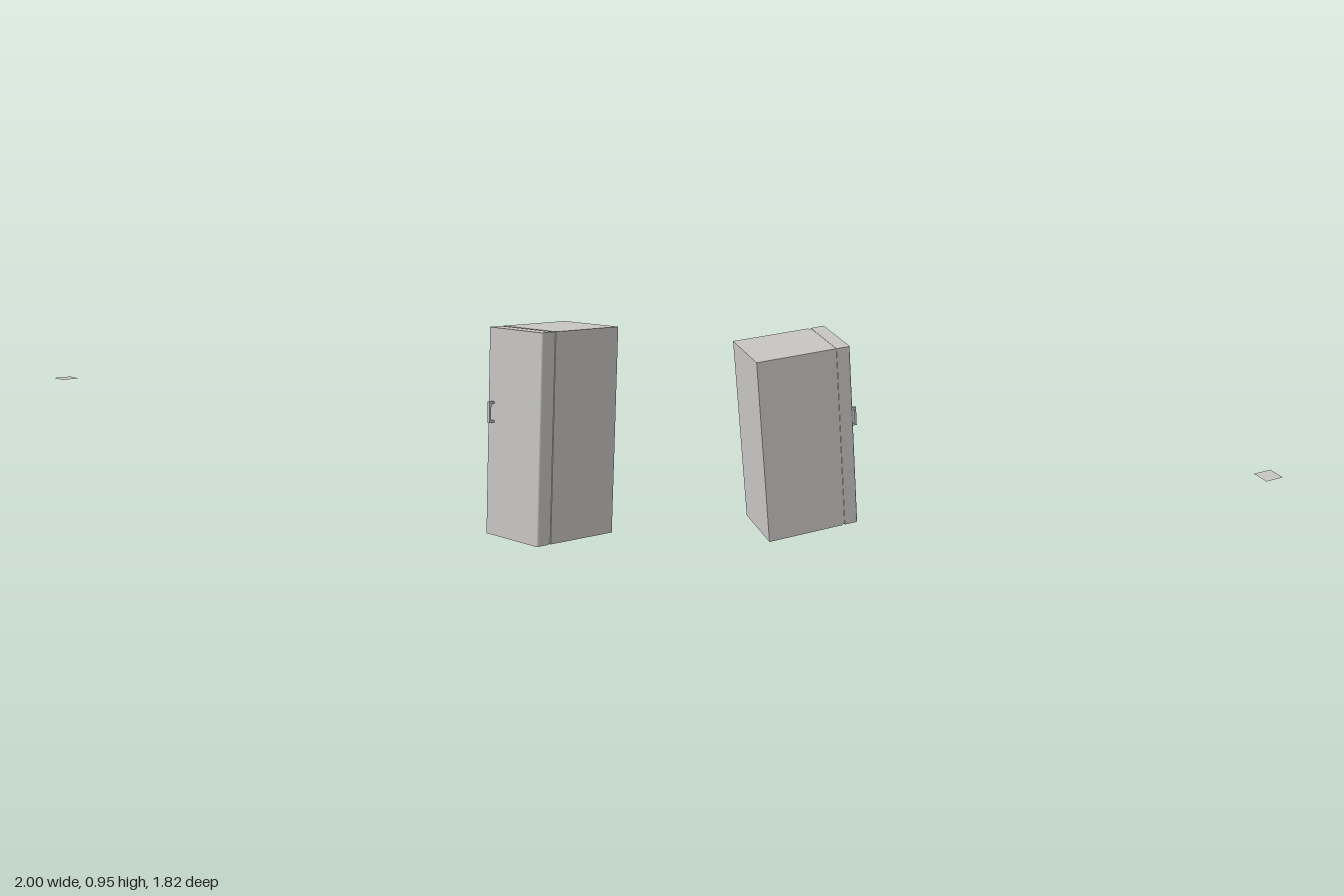
import * as THREE from 'three';

export function createModel() {
  const model = new THREE.Group();
  const enamel = new THREE.MeshStandardMaterial({ color: 0xc8c7c4 });
  enamel.name = 'warm grey enamel';
  const sheet = new THREE.MeshStandardMaterial({ color: 0xc8c7c4, side: THREE.DoubleSide });
  sheet.name = 'warm grey sheet';

  const add = (name, geometry, parent = model, material = enamel) => {
    const mesh = new THREE.Mesh(geometry, material);
    mesh.name = name;
    parent.add(mesh);
    return mesh;
  };
  // Box given by its minimum and maximum corners
  const box = (name, a, b, parent) => {
    const mesh = add(name, new THREE.BoxGeometry(b[0] - a[0], b[1] - a[1], b[2] - a[2]), parent);
    mesh.position.set((a[0] + b[0]) / 2, (a[1] + b[1]) / 2, (a[2] + b[2]) / 2);
  };

  const left = 0.665, right = 1, height = 0.95;

  // Cabinet and the slightly recessed door seal
  const fridge = new THREE.Group();
  fridge.name = 'refrigerator';
  model.add(fridge);
  box('cabinet', [left, 0, -0.91], [right, height, -0.52], fridge);
  box('doorSeal', [left + 0.004, 0.002, -0.52], [right - 0.004, height - 0.002, -0.505], fridge);

  // Door: plan outline with rounded front corners, extruded upwards
  const back = -0.505, front = -0.435, r = 0.01;
  const plan = new THREE.Shape();
  plan.moveTo(left, -back);
  plan.lineTo(left, -front + r);
  plan.quadraticCurveTo(left, -front, left + r, -front);
  plan.lineTo(right - r, -front);
  plan.quadraticCurveTo(right, -front, right, -front + r);
  plan.lineTo(right, -back);
  plan.closePath();
  const doorGeometry = new THREE.ExtrudeGeometry(plan, { depth: height, bevelEnabled: false, curveSegments: 5 });
  doorGeometry.rotateX(-Math.PI / 2); // plan y becomes -z, depth becomes y
  add('door', doorGeometry, fridge);

  // C-shaped handle: side profile with a notch, extruded across x
  const side = new THREE.Shape();
  [[0, 0.52], [0.03, 0.52], [0.03, 0.616], [0, 0.616], [0, 0.606], [0.02, 0.606], [0.02, 0.53], [0, 0.53]]
    .forEach(([out, y], i) => (i ? side.lineTo(-out, y) : side.moveTo(-out, y)));
  const handleGeometry = new THREE.ExtrudeGeometry(side, { depth: 0.014, bevelEnabled: false });
  handleGeometry.rotateY(Math.PI / 2); // profile x becomes -z, depth becomes x
  add('handle', handleGeometry, fridge).position.set(0.695, 0, front);

  // Small loose square sheet, level and away from the cabinet
  const plate = add('looseSquareSheet', new THREE.PlaneGeometry(0.09, 0.09).rotateX(-Math.PI / 2), model, sheet);
  plate.position.set(-0.955, 0.645, 0.865);

  return model;
}
